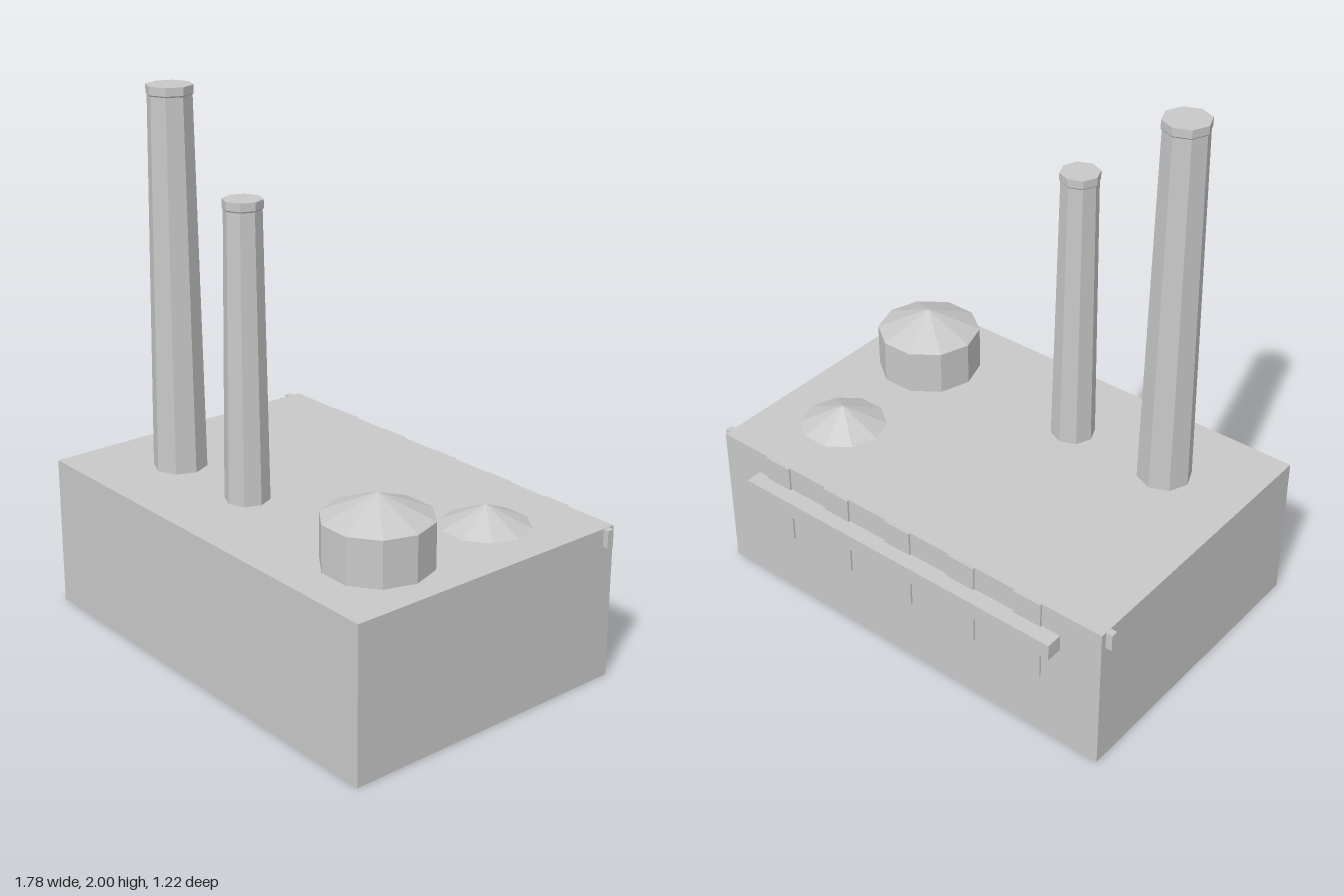
import * as THREE from 'three';

export function createModel() {
  const model = new THREE.Group();
  model.name = 'factory';

  const grey = new THREE.MeshStandardMaterial({ color: 0xc8c8c8 });
  grey.name = 'plain grey';
  grey.flatShading = true;
  grey.side = THREE.DoubleSide;

  const add = (name, geometry, x, y, z) => {
    const mesh = new THREE.Mesh(geometry, grey);
    mesh.name = name;
    mesh.position.set(x, y, z);
    model.add(mesh);
    return mesh;
  };

  // Faceted solid of revolution from [radius, height] pairs
  const turned = (points, sides, start = 0) =>
    new THREE.LatheGeometry(points.map(([r, y]) => new THREE.Vector2(r, y)), sides, start);

  // Hall: a shell with four walls and a flat roof, open underneath
  const hall = new THREE.BoxGeometry(1.732, 0.577, 1.156);
  const faces = Array.from(hall.index.array);
  faces.splice(18, 6);
  hall.setIndex(faces);
  hall.clearGroups();
  add('hall', hall, 0, 0.2885, 0.03);

  // Chimneys: flared foot, tapering shaft, narrow collar, closed top
  const chimney = (name, x, height, foot, base, neck, rim) =>
    add(name, turned([
      [foot, 0], [base * 1.04, 0.36], [base, 0.577],
      [neck, height - 0.035], [rim, height - 0.03], [rim, height], [0, height],
    ], 8), x, 0, 0.278);
  chimney('tallChimney', -0.539, 2, 0.135, 0.101, 0.081, 0.085);
  chimney('shortChimney', -0.127, 1.67, 0.115, 0.083, 0.068, 0.072);

  // Tanks: ten-sided drums with shallow cone lids, reaching the ground
  const tank = (name, z, radius, eaves, peak) =>
    add(name, turned([[radius, 0], [radius, eaves], [0, peak]], 10, Math.PI / 2), 0.576, 0, z);
  tank('largeTank', 0.278, 0.197, 0.747, 0.832);
  tank('smallTank', -0.217, 0.165, 0.576, 0.652);

  // Rail along the back wall
  add('backRail', new THREE.BoxGeometry(1.395, 0.063, 0.064), -0.002, 0.45, -0.58);

  // Tie beam whose ends stick out of both side walls
  add('tieBeam', new THREE.BoxGeometry(1.778, 0.065, 0.027), -0.002, 0.543, -0.512);

  // Five thin panels hanging on the back wall
  for (let i = 0; i < 5; i++) {
    add('backPanel', new THREE.BoxGeometry(0.115, 0.324, 0.009), -0.564 + i * 0.2885, 0.414, -0.5515);
  }

  return model;
}
